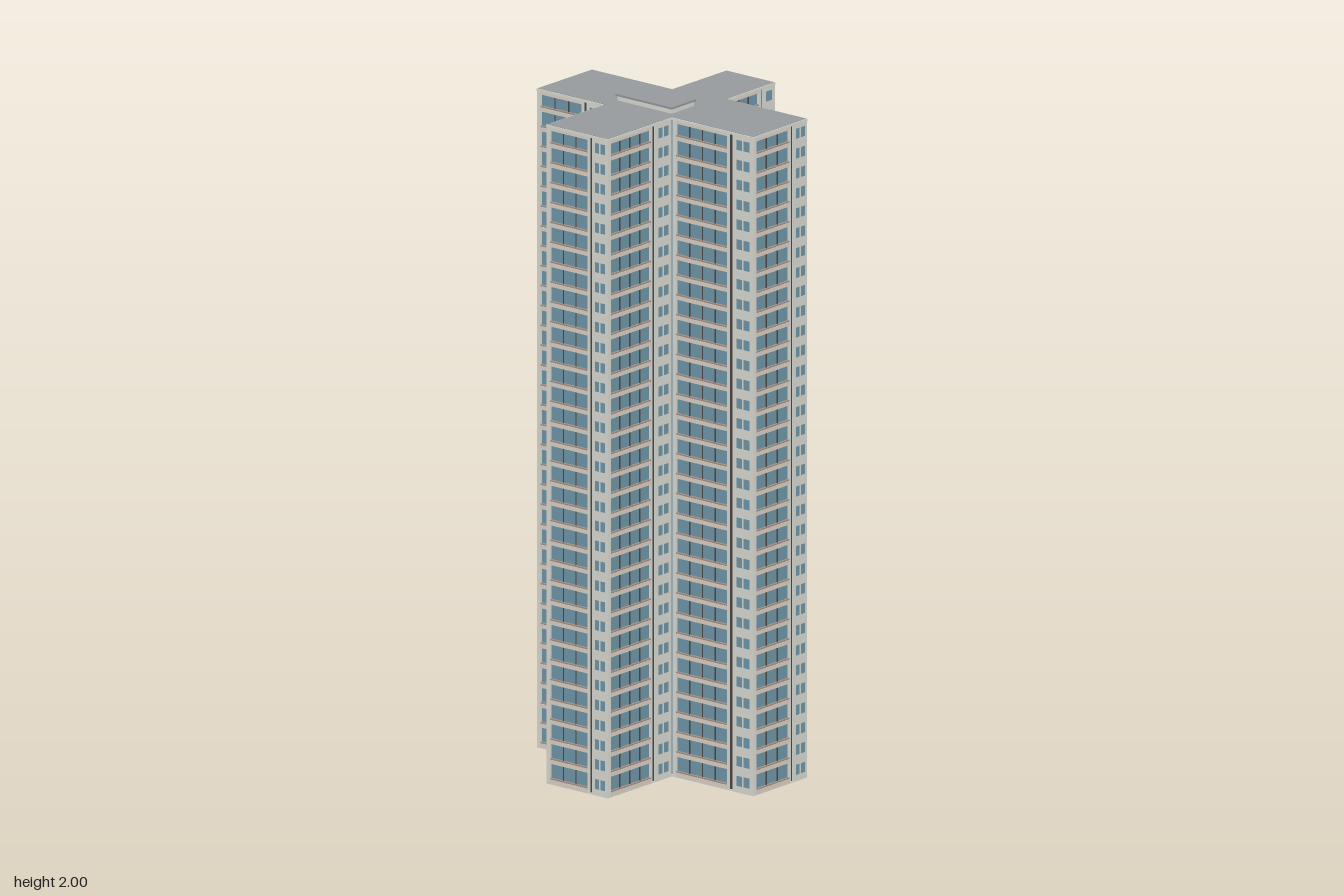
import * as THREE from 'three';
import { mergeGeometries } from 'three/addons/utils/BufferGeometryUtils.js';

const FLOORS = 33, TOP = 1.98, STOREY = 1.97 / FLOORS, DEPTH = 0.008;

// Cross-shaped footprint (x, z), walked so each wall runs left to right as seen from outside
const PLAN = [
  [-0.358, 0.128], [-0.074, 0.098], [-0.042, 0.402], [0.2, 0.375],
  [0.168, 0.077], [0.382, 0.052], [0.362, -0.13], [0.122, -0.105],
  [0.09, -0.405], [-0.155, -0.38], [-0.127, -0.13], [-0.383, -0.103],
].map(([x, z]) => new THREE.Vector2(x, z));

const mat = (name, color) => {
  const m = new THREE.MeshStandardMaterial({ color });
  m.name = name;
  return m;
};

// Moves every corner inward along the normals of its two walls
function inset(plan, d) {
  const n = plan.length;
  const normal = (a, b) => new THREE.Vector2(-(b.y - a.y), b.x - a.x).normalize();
  return plan.map((p, i) => {
    const n1 = normal(plan[(i + n - 1) % n], p), n2 = normal(p, plan[(i + 1) % n]);
    return p.clone().addScaledVector(n1, -d).addScaledVector(n2, -d);
  });
}

// Upright prism over a plan between two heights
function prism(plan, y0, y1) {
  const shape = new THREE.Shape(plan.map((p) => new THREE.Vector2(p.x, -p.y)));
  return new THREE.ExtrudeGeometry(shape, { depth: y1 - y0, bevelEnabled: false })
    .rotateX(-Math.PI / 2).translate(0, y0, 0);
}

// Box given by its extents: along the wall, in height and in depth
const box = (x0, x1, y0, y1, z0, z1) =>
  new THREE.BoxGeometry(x1 - x0, y1 - y0, z1 - z0)
    .translate((x0 + x1) / 2, (y0 + y1) / 2, (z0 + z1) / 2);

export function createModel() {
  const model = new THREE.Group();
  model.name = 'apartmentTower';
  const wall = mat('pale wall', 0xdbdbd4);
  const band = mat('cream balcony', 0xdcd2c6);
  const trim = mat('brown trim', 0xa39186);
  const glass = mat('blue glass', 0x7097a9);
  const dark = mat('dark frame', 0x4d4643);
  const roof = mat('grey roof', 0x959a9c);

  const add = (parent, name, geo, material) => {
    const mesh = new THREE.Mesh(geo, material);
    mesh.name = name;
    parent.add(mesh);
  };

  // Glazed core between the base and roof slabs
  add(model, 'glazedCore', prism(inset(PLAN, DEPTH), 0.003, TOP - 0.006), glass);
  add(model, 'baseSlab', prism(inset(PLAN, 0.001), 0, 0.004), wall);
  add(model, 'parapet', prism(PLAN, TOP - 0.008, TOP - 0.001), wall);
  add(model, 'roofSlab', prism(inset(PLAN, 0.003), TOP - 0.004, TOP), roof);

  // Rooftop plant room with a slightly wider lid
  const hut = [[-0.075, -0.135], [-0.054, 0.076], [0.054, 0.064], [0.032, -0.148]]
    .map(([x, z]) => new THREE.Vector2(x, z));
  add(model, 'plantRoom', prism(inset(hut, 0.004), TOP, 1.995), wall);
  add(model, 'plantRoomLid', prism(hut, 1.994, 2), roof);

  PLAN.forEach((a, i) => {
    const b = PLAN[(i + 1) % PLAN.length];
    const len = a.distanceTo(b), dx = b.x - a.x, dz = b.y - a.y;
    const side = new THREE.Group();
    side.name = 'facade' + (i + 1);
    side.position.set(a.x, 0, a.y);
    side.rotation.y = Math.atan2(-dz, dx);
    model.add(side);

    const x0 = 0.014, x1 = len * 0.7, x2 = len * 0.74, hi = TOP - 0.008;
    const back = -DEPTH - 0.002, face = -0.001, glazedEnd = x1 - 0.008;

    // Plain corner strips, dark recess strip and pale window column
    add(side, 'wallColumns', mergeGeometries([
      box(0.001, x0, 0.003, hi, back, face),
      box(glazedEnd, x1, 0.003, hi, back, face),
      box(x2, len - 0.001, 0.003, hi, back, face),
    ]), wall);
    add(side, 'recessStrip', box(x1, x2, 0.003, hi, back, -0.005), dark);

    // Thin upright fins dividing the glazing into bays
    const bays = Math.max(3, Math.round((glazedEnd - x0) / 0.045));
    const fins = [];
    for (let k = 1; k < bays; k++) {
      const x = x0 + (glazedEnd - x0) * k / bays;
      const w = (i === 3 && k === Math.floor(bays / 2)) || (i === 7 && k === 1) ? 0.003 : 0.0003;
      fins.push(box(x - w, x + w, 0.003, hi, back, -0.003));
    }
    add(side, 'bayFins', mergeGeometries(fins), dark);

    // Balcony bands, trims and small windows on every storey
    const bands = [], trims = [], panes = [];
    const cw = len - x2, single = i === 3 || i === 4;
    const slots = single ? [[0.27, 0.75]] : [[0.2, 0.44], [0.54, 0.8]];
    for (let f = 0; f < FLOORS; f++) {
      const y = 0.003 + f * STOREY;
      bands.push(box(x0, glazedEnd, y, y + 0.012, back, 0));
      trims.push(box(x0, glazedEnd, y + 0.012, y + 0.016, back, -0.001));
      for (const [s, e] of slots)
        panes.push(box(x2 + cw * s, x2 + cw * e, y + 0.017, y + 0.047, face - 0.001, face + 0.001));
    }
    bands.push(box(x0, glazedEnd, hi - 0.008, hi, back, 0));
    add(side, 'balconyBands', mergeGeometries(bands), band);
    add(side, 'bandTrims', mergeGeometries(trims), trim);
    add(side, 'smallWindows', mergeGeometries(panes), glass);
  });
  return model;
}
